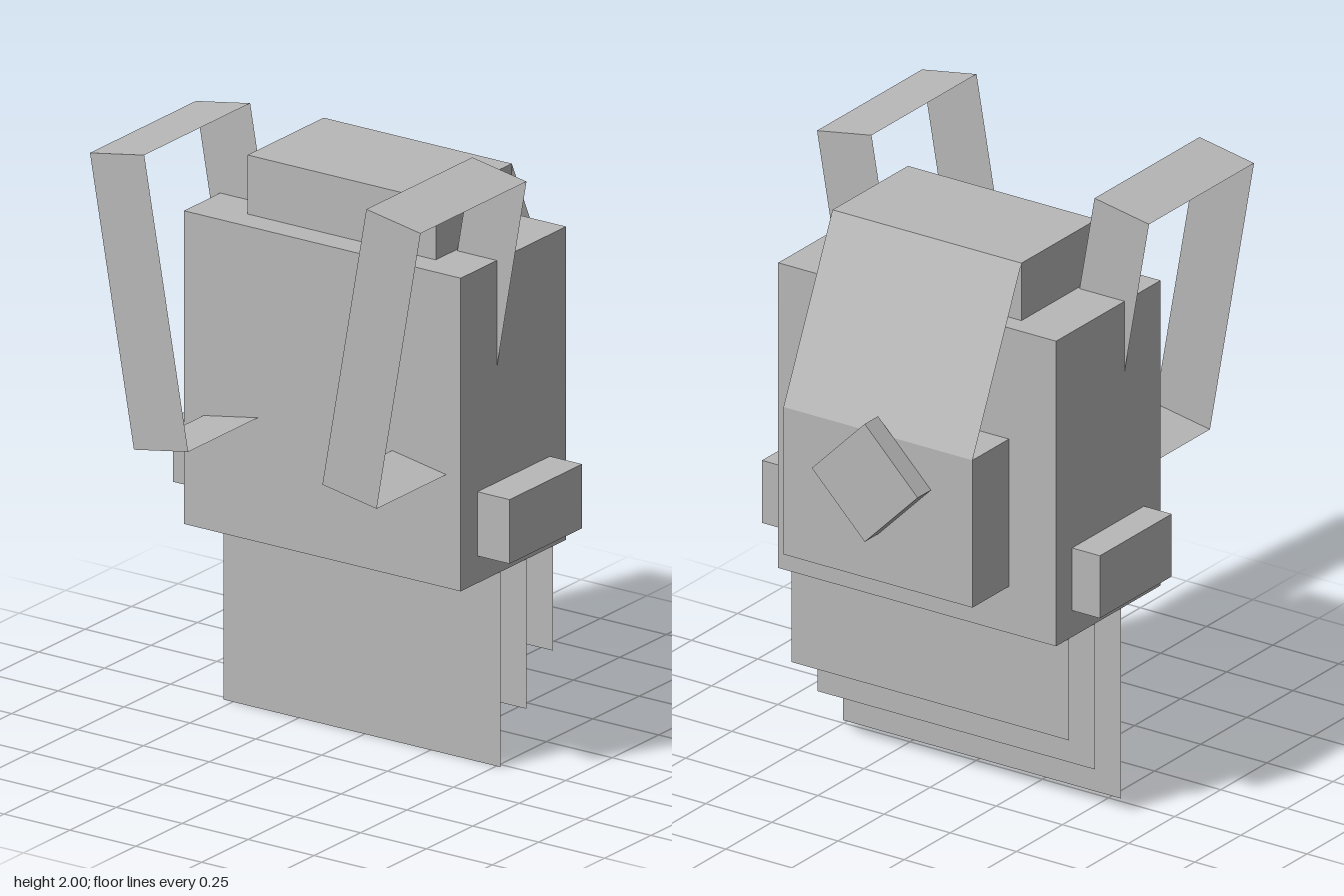
import * as THREE from 'three';

export function createModel() {
  const model = new THREE.Group();
  model.name = 'backpack';
  const canvas = new THREE.MeshStandardMaterial({ color: 0xb8b8b8, side: THREE.DoubleSide });
  canvas.name = 'grey canvas';

  const add = (parent, name, geometry, x, y, z) => {
    const mesh = new THREE.Mesh(geometry, canvas);
    mesh.name = name;
    mesh.position.set(x, y, z);
    parent.add(mesh);
    return mesh;
  };
  // Box given by its extents on each axis
  const box = (name, [x0, x1], [y0, y1], [z0, z1]) =>
    add(model, name, new THREE.BoxGeometry(x1 - x0, y1 - y0, z1 - z0),
      (x0 + x1) / 2, (y0 + y1) / 2, (z0 + z1) / 2);

  // Main bag, lid and back pocket
  box('body', [-0.535, 0.515], [0.645, 1.68], [-0.335, 0.232]);
  box('lid', [-0.357, 0.357], [1.68, 1.875], [-0.267, 0.142]);
  box('backPocket', [-0.357, 0.357], [0.803, 1.303], [-0.533, -0.335]);

  // Side pouches
  box('leftPouch', [0.515, 0.637], [0.735, 0.947], [-0.248, 0.142]);
  box('rightPouch', [-0.64, -0.535], [0.735, 0.947], [-0.248, 0.142]);

  // Sloping sheet from the lid to the pocket
  const rise = 1.875 - 1.303, run = 0.533 - 0.267;
  const flap = add(model, 'flap', new THREE.PlaneGeometry(0.714, Math.hypot(rise, run)),
    0, (1.875 + 1.303) / 2, -0.4);
  flap.rotation.set(-Math.atan2(rise, run), Math.PI, 0, 'YXZ');
  flap.rotation.x = -Math.atan2(run, rise);

  // Diamond clasp
  const side = 0.2 * Math.SQRT2;
  add(model, 'clasp', new THREE.BoxGeometry(side, side, 0.072), 0, 1.162, -0.569)
    .rotation.z = Math.PI / 4;

  // Hanging sheets, shorter toward the back
  [[0.018, 0], [-0.123, 0.15], [-0.264, 0.3]].forEach(([z, bottom], i) => {
    const h = 0.645 - bottom;
    add(model, 'hangingSheet' + (i + 1), new THREE.PlaneGeometry(1.05, h), -0.01, bottom + h / 2, z);
  });

  // Shoulder straps: thin square loops leaning outward
  const w = 0.209, h = 0.96, d = 0.57;
  for (const s of [1, -1]) {
    const strap = new THREE.Group();
    strap.name = s > 0 ? 'leftStrap' : 'rightStrap';
    strap.position.set(s * 0.441, 1.51, 0.322);
    strap.rotation.z = -s * Math.PI / 18;
    add(strap, 'strapFront', new THREE.PlaneGeometry(w, h), 0, 0, d / 2);
    add(strap, 'strapBack', new THREE.PlaneGeometry(w, h), 0, 0, -d / 2).rotation.y = Math.PI;
    add(strap, 'strapTop', new THREE.PlaneGeometry(w, d), 0, h / 2, 0).rotation.x = -Math.PI / 2;
    add(strap, 'strapBottom', new THREE.PlaneGeometry(w, d), 0, -h / 2, 0).rotation.x = Math.PI / 2;
    model.add(strap);
  }
  return model;
}
